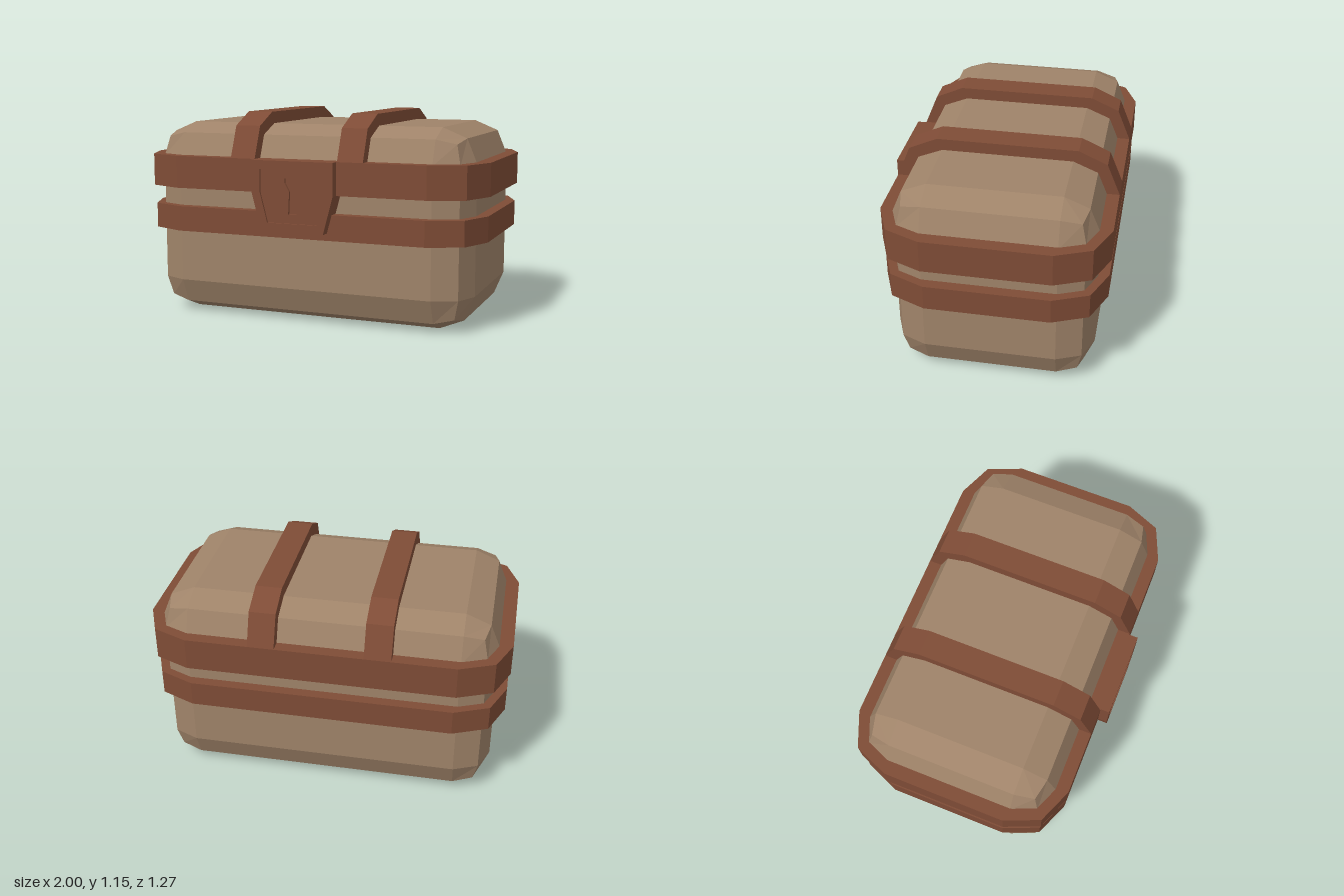
import * as THREE from 'three';
import { RoundedBoxGeometry } from 'three/addons/geometries/RoundedBoxGeometry.js';

const CENTRE_Z = -0.025;

export function createModel() {
  const chest = new THREE.Group();
  chest.name = 'chest';

  const shell = new THREE.MeshStandardMaterial({ color: 0x9f8369, flatShading: true });
  shell.name = 'tan shell';
  const leather = new THREE.MeshStandardMaterial({ color: 0x7f4c36, flatShading: true });
  leather.name = 'reddish brown trim';

  const add = (name, geometry, material) => {
    const mesh = new THREE.Mesh(geometry, material);
    mesh.name = name;
    chest.add(mesh);
    return mesh;
  };
  const points = (list) => list.map(([x, y]) => new THREE.Vector2(x, y));
  const extrude = (shape, depth) =>
    new THREE.ExtrudeGeometry(shape, { depth, bevelEnabled: false });

  // Body: box with faceted, rounded edges
  add('body', new RoundedBoxGeometry(1.86, 1.09, 1.09, 1, 0.19), shell)
    .position.set(0, 0.545, CENTRE_Z);

  // Horizontal bands: rectangle whose corners have two facets
  const band = (name, hx, hz, y0, y1) => {
    const r = 0.27, m = r * (1 - Math.SQRT1_2);
    const corner = [[hx, hz - r], [hx - m, hz - m], [hx - r, hz]];
    const outline = [];
    for (const [sx, sz] of [[1, 1], [-1, 1], [-1, -1], [1, -1]]) {
      const part = corner.map(([x, z]) => [x * sx, z * sz]);
      outline.push(...(sx * sz > 0 ? part : part.reverse()));
    }
    const geometry = extrude(new THREE.Shape(points(outline)), y1 - y0);
    geometry.rotateX(-Math.PI / 2);
    add(name, geometry, leather).position.set(0, y0, CENTRE_Z);
  };
  band('lidBand', 1.0, 0.61, 0.73, 0.91);
  band('bodyBand', 0.99, 0.603, 0.485, 0.625);

  // Straps over the lid, profile drawn from front to back
  const half = [[0.61, 0.82], [0.61, 0.91], [0.538, 1.085], [0.383, 1.155]];
  const profile = [...half, ...half.map(([z, y]) => [-z, y]).reverse()];
  for (const [name, x] of [['leftStrap', 0.24], ['rightStrap', -0.385]]) {
    const geometry = extrude(new THREE.Shape(points(profile)), 0.145);
    geometry.rotateY(-Math.PI / 2); // profile x becomes z, depth runs to -x
    add(name, geometry, leather).position.set(x + 0.145, 0, CENTRE_Z);
  }

  // Lock: backing, raised frame, recessed panel with a keyhole
  const mirrored = (side) =>
    points([...side, ...side.map(([x, y]) => [-x, y]).reverse()]);
  const outer = mirrored([[0.18, 0.525], [0.235, 0.73], [0.235, 0.91]]);
  const inner = mirrored([[0.145, 0.573], [0.187, 0.735], [0.187, 0.862]]);
  const keyhole = mirrored([[0.025, 0.622], [0.019, 0.745], [0.045, 0.79], [0.045, 0.815]]);

  add('lockBacking', extrude(new THREE.Shape(outer), 0.09), leather).position.z = 0.52;

  const frame = new THREE.Shape(outer);
  frame.holes.push(new THREE.Path(inner));
  add('lockFrame', extrude(frame, 0.025), leather).position.z = 0.61;

  const panel = new THREE.Shape(inner);
  panel.holes.push(new THREE.Path(keyhole));
  add('lockPanel', extrude(panel, 0.014), leather).position.z = 0.61;

  return chest;
}
